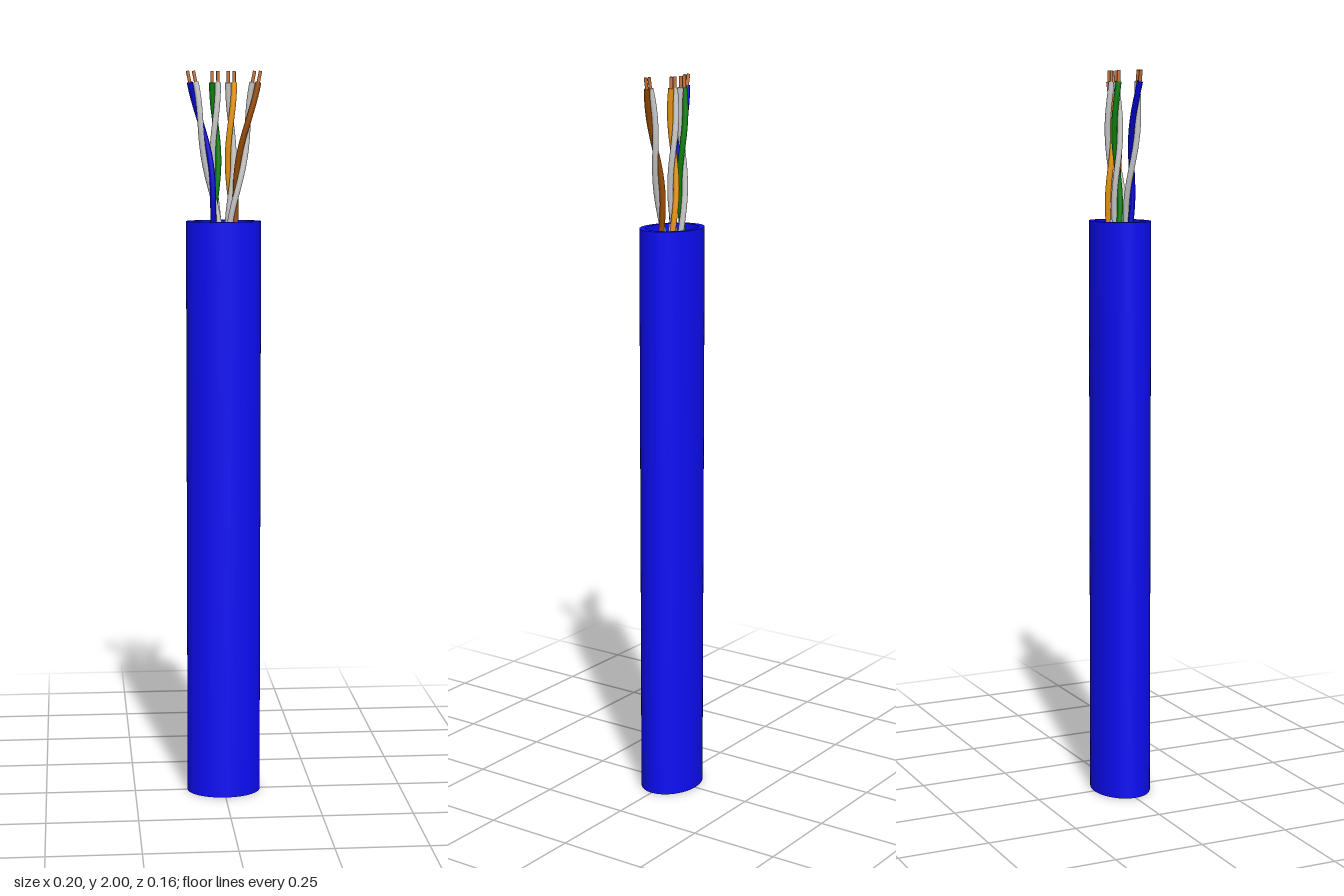
import * as THREE from 'three';

const material = (color) => new THREE.MeshStandardMaterial({ color });
const WIRE_R = 0.008, CORE_R = 0.0045, PITCH = 0.4;
const BOTTOM = 1.4, JACKET_TOP = 1.6, STRIP = 1.97, TOP = 2;

// Hollow oval jacket with flat end rings
function makeJacket() {
  const shape = new THREE.Shape().absellipse(0, 0, 0.102, 0.08, 0, Math.PI * 2);
  shape.holes.push(new THREE.Path().absellipse(0, 0, 0.083, 0.066, 0, Math.PI * 2, true));
  const geometry = new THREE.ExtrudeGeometry(shape, { depth: JACKET_TOP, bevelEnabled: false, curveSegments: 48 });
  geometry.rotateX(-Math.PI / 2);
  const jacket = new THREE.Mesh(geometry, material(0x0d0df5));
  jacket.name = 'jacket';
  return jacket;
}

// Helix around a centre line that leans outwards above the jacket
class TwistedPath extends THREE.Curve {
  constructor(pair, phase, y0, y1) {
    super();
    Object.assign(this, { pair, phase, y0, y1 });
  }
  getPoint(t, target = new THREE.Vector3()) {
    const { x, z, tipX } = this.pair;
    const y = THREE.MathUtils.lerp(this.y0, this.y1, t);
    const lean = Math.pow(Math.max(0, (y - JACKET_TOP) / (TOP - JACKET_TOP)), 1.2);
    const angle = this.phase + (Math.max(0, STRIP - y) / PITCH) * Math.PI * 2;
    return target.set(
      x + (tipX - x) * lean + Math.cos(angle) * WIRE_R, y, z + Math.sin(angle) * WIRE_R);
  }
}

// Tube closed with a disc at both ends
function makeStrand(name, path, radius, color, segments) {
  const strand = new THREE.Group();
  strand.name = name;
  const mat = material(color);
  strand.add(new THREE.Mesh(new THREE.TubeGeometry(path, segments, radius, 14), mat));
  for (const end of [0, 1]) {
    const disc = new THREE.Mesh(new THREE.CircleGeometry(radius, 14), mat);
    const outward = path.getTangentAt(end).multiplyScalar(end ? 1 : -1);
    disc.position.copy(path.getPoint(end));
    disc.quaternion.setFromUnitVectors(new THREE.Vector3(0, 0, 1), outward);
    strand.add(disc);
  }
  strand.children.forEach((m) => { m.name = name; });
  return strand;
}

// One coloured and one white wire twisted together, with bare copper tips
function makePair(pair) {
  const group = new THREE.Group();
  group.name = pair.name + 'Pair';
  [pair.color, 0xc8c8c8].forEach((color, i) => {
    const phase = pair.phase + i * Math.PI;
    const label = i ? 'whiteWire' : pair.name + 'Wire';
    group.add(makeStrand(label, new TwistedPath(pair, phase, BOTTOM, STRIP), WIRE_R, color, 80));
    group.add(makeStrand('copperTip', new TwistedPath(pair, phase, STRIP - 0.01, TOP), CORE_R, 0xc87840, 4));
  });
  return group;
}

export function createModel() {
  const model = new THREE.Group();
  model.name = 'networkCable';
  model.add(makeJacket());
  const pairs = [
    { name: 'blue', color: 0x0000d0, x: -0.022, z: 0.015, tipX: -0.09, phase: Math.PI },
    { name: 'green', color: 0x0a800a, x: -0.02, z: -0.018, tipX: -0.022, phase: Math.PI },
    { name: 'orange', color: 0xf09a10, x: 0.02, z: -0.018, tipX: 0.022, phase: 0 },
    { name: 'brown', color: 0x964b00, x: 0.024, z: 0.016, tipX: 0.09, phase: 0 },
  ];
  pairs.forEach((pair) => model.add(makePair(pair)));
  return model;
}
